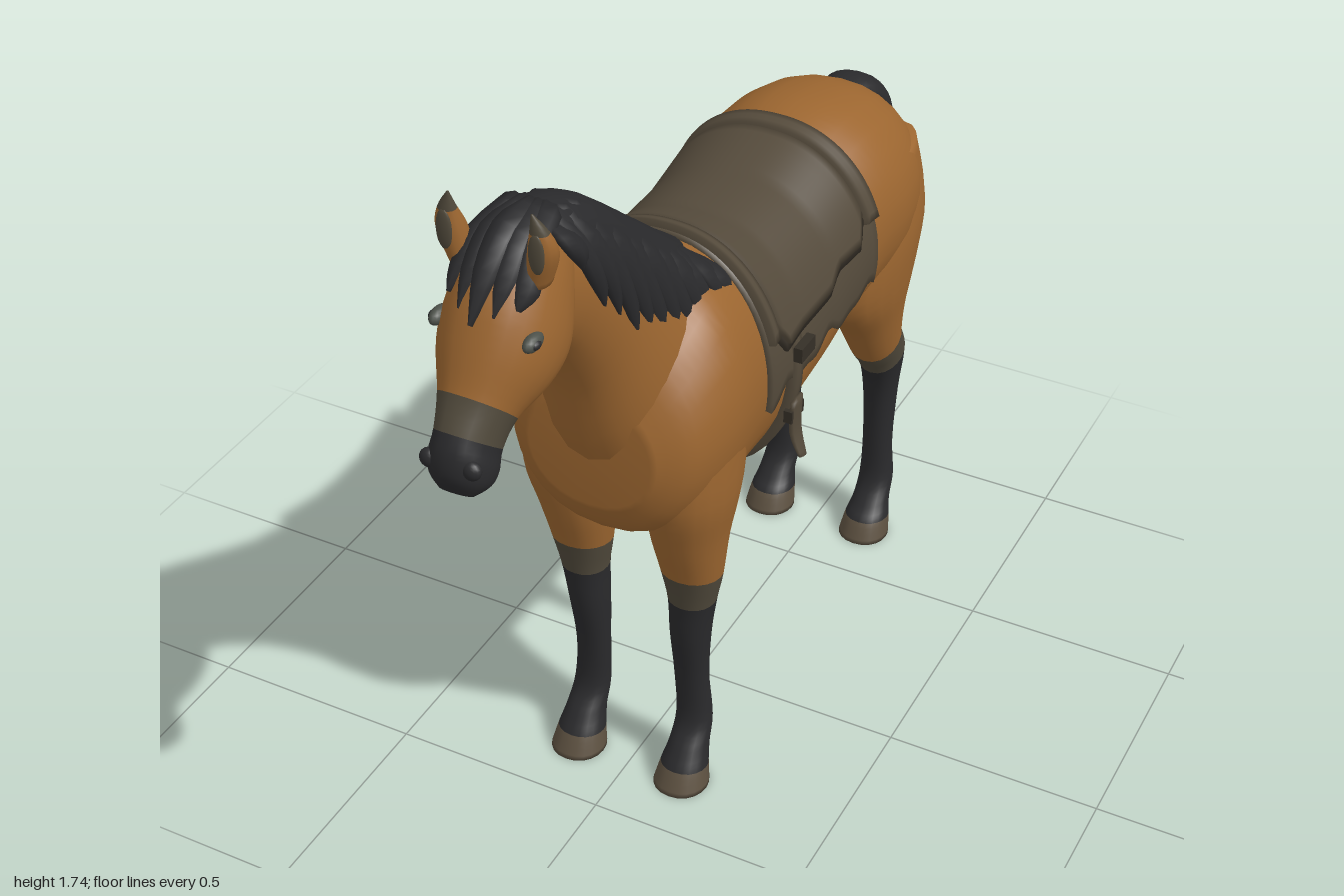
import * as THREE from 'three';

const mat = (name, color, side = THREE.FrontSide) => {
  const m = new THREE.MeshStandardMaterial({ color, side });
  m.name = name;
  return m;
};
const coat = mat('bay coat', 0x9c6630);
const black = mat('black hair', 0x2a2a2c);
const band = mat('grey brown fur', 0x50493b);
const hoof = mat('hoof', 0x5c5040);
const cloth = mat('saddle cloth', 0x544a3b, THREE.DoubleSide);
const trim = mat('dark leather', 0x352f27, THREE.DoubleSide);
const eyeGrey = mat('eye grey', 0x4c5049);

const catmull = (a, b, c, d, t) =>
  0.5 * (2 * b + (c - a) * t + (2 * a - 5 * b + 4 * c - d) * t * t + (3 * b - a - 3 * c + d) * t ** 3);

// Smooth closed skin through oval sections [z1, y1, z2, y2, halfWidth, x, material]:
// each section spans two opposite points in the side plane.
function loft(name, secs, mats, seg = 20, sub = 4) {
  const pos = [], idx = [], groups = [], n = secs.length, rows = (n - 1) * sub + 1;
  const S = (i, k) => secs[Math.min(n - 1, Math.max(0, i))][k] ?? 0;
  for (let r = 0; r < rows; r++) {
    const i = Math.min(n - 2, Math.floor(r / sub)), t = r / sub - i;
    const [z1, y1, z2, y2, w, x] = [0, 1, 2, 3, 4, 5].map(k => catmull(S(i - 1, k), S(i, k), S(i + 1, k), S(i + 2, k), t));
    for (let j = 0; j < seg; j++) {
      const a = j / seg * Math.PI * 2, c = Math.cos(a), s = Math.sin(a);
      pos.push(x + Math.max(w, 0.001) * Math.sign(s) * Math.abs(s) ** 0.9,
        (y1 + y2) / 2 + (y1 - y2) / 2 * c, (z1 + z2) / 2 + (z1 - z2) / 2 * c);
    }
  }
  for (const k of [0, n - 1]) pos.push(S(k, 5), (S(k, 1) + S(k, 3)) / 2, (S(k, 0) + S(k, 2)) / 2);
  for (let i = 0; i < n - 1; i++) {
    const start = idx.length;
    for (let r = i * sub; r < (i + 1) * sub; r++) for (let j = 0; j < seg; j++) {
      const a = r * seg + j, b = r * seg + (j + 1) % seg;
      idx.push(a, b, a + seg, b, b + seg, a + seg);
      if (r === 0) idx.push(rows * seg, b, a);
      if (r === rows - 2) idx.push(rows * seg + 1, a + seg, b + seg);
    }
    groups.push([start, idx.length - start, S(i, 6)]);
  }
  // turn the faces outward whatever way the sections run
  let vol = 0;
  const V = i => new THREE.Vector3().fromArray(pos, i * 3);
  for (let i = 0; i < idx.length; i += 3) vol += V(idx[i]).dot(V(idx[i + 1]).cross(V(idx[i + 2])));
  if (vol < 0) for (let i = 0; i < idx.length; i += 3) [idx[i], idx[i + 1]] = [idx[i + 1], idx[i]];
  const g = new THREE.BufferGeometry();
  g.setAttribute('position', new THREE.Float32BufferAttribute(pos, 3));
  g.setIndex(idx);
  if (Array.isArray(mats)) groups.forEach(q => g.addGroup(...q));
  g.computeVertexNormals();
  const m = new THREE.Mesh(g, mats);
  m.name = name;
  return m;
}

const BODY = [
  [-0.79, 1.10, -0.79, 0.98, 0.08], [-0.76, 1.21, -0.77, 0.88, 0.17], [-0.68, 1.265, -0.70, 0.80, 0.225],
  [-0.57, 1.295, -0.57, 0.78, 0.25], [-0.47, 1.305, -0.45, 0.78, 0.248], [-0.36, 1.29, -0.33, 0.75, 0.235],
  [-0.18, 1.255, -0.18, 0.71, 0.233], [0, 1.26, 0, 0.69, 0.233], [0.14, 1.305, 0.14, 0.69, 0.238],
  [0.26, 1.32, 0.28, 0.70, 0.25], [0.34, 1.28, 0.38, 0.72, 0.238], [0.42, 1.2, 0.45, 0.77, 0.205],
  [0.475, 1.1, 0.49, 0.85, 0.14]];

// Cloth wrapped over the barrel between z0 and z1, hanging to height low(t), with turned edges
function wrap(name, z0, z1, low, off, material, nz = 14) {
  const pos = [], idx = [], na = 40;
  for (let r = -1; r <= nz + 1; r++) {
    const t = Math.min(1, Math.max(0, r / nz)), z = z0 + (z1 - z0) * t;
    const i = Math.max(0, BODY.findIndex(s => s[0] > z) - 1), A = BODY[i], B = BODY[i + 1];
    const [, top, , bot, w] = A.map((v, k) => v + (B[k] - v) * (z - A[0]) / (B[0] - A[0]));
    const cy = (top + bot) / 2, h = (top - bot) / 2;
    const a0 = Math.asin(Math.max(-1, (low(t) - cy) / h));
    for (let j = -1; j <= na + 1; j++) {
      const a = a0 + (Math.PI - 2 * a0) * Math.min(1, Math.max(0, j / na));
      const o = r < 0 || r > nz || j < 0 || j > na ? 0 : off, c = Math.cos(a);
      pos.push((w + o) * Math.sign(c) * Math.abs(c) ** 0.9, cy + (h + o) * Math.sin(a), z);
    }
  }
  const W = na + 3;
  for (let r = 0; r < nz + 2; r++) for (let j = 0; j < W - 1; j++) {
    const a = r * W + j;
    idx.push(a, a + W, a + 1, a + 1, a + W, a + W + 1);
  }
  const g = new THREE.BufferGeometry();
  g.setAttribute('position', new THREE.Float32BufferAttribute(pos, 3));
  g.setIndex(idx);
  g.computeVertexNormals();
  const m = new THREE.Mesh(g, material);
  m.name = name;
  return m;
}

function solid(name, geo, material, p, s = [1, 1, 1]) {
  const m = new THREE.Mesh(geo, material);
  m.name = name;
  m.position.set(...p);
  m.scale.set(...s);
  return m;
}

export function createModel() {
  const horse = new THREE.Group();
  horse.name = 'horse';
  const add = (...m) => horse.add(...m);

  add(loft('body', BODY, coat, 28));
  add(loft('neck', [
    [0.08, 1.26, 0.42, 0.82, 0.19], [0.22, 1.34, 0.50, 1.00, 0.155], [0.38, 1.48, 0.55, 1.18, 0.118],
    [0.53, 1.59, 0.62, 1.31, 0.095], [0.68, 1.65, 0.68, 1.36, 0.08]], coat, 24));
  // head, with grey band and black muzzle
  add(loft('head', [
    [0.67, 1.66, 0.60, 1.50, 0.07], [0.78, 1.65, 0.63, 1.40, 0.10], [0.85, 1.58, 0.67, 1.345, 0.115],
    [0.895, 1.50, 0.74, 1.32, 0.108], [0.935, 1.41, 0.82, 1.295, 0.076, 0, 1], [0.975, 1.35, 0.855, 1.25, 0.062, 0, 2],
    [0.995, 1.31, 0.875, 1.215, 0.065, 0, 2], [1.0, 1.265, 0.90, 1.20, 0.058, 0, 2],
    [0.985, 1.225, 0.945, 1.20, 0.035, 0, 2]], [coat, band, black], 24));

  const ball = new THREE.SphereGeometry(1, 14, 10);
  for (const s of [1, -1]) {
    // legs: coat, grey band, black stocking, hoof
    const mats = [coat, band, black, hoof];
    add(loft('frontLeg', [
      [0.42, 1.00, 0.14, 1.00, 0.085, s * 0.155], [0.43, 0.84, 0.17, 0.82, 0.095, s * 0.145],
      [0.395, 0.71, 0.20, 0.69, 0.083, s * 0.135], [0.355, 0.59, 0.22, 0.57, 0.068, s * 0.134, 1],
      [0.335, 0.50, 0.228, 0.50, 0.054, s * 0.132, 2], [0.325, 0.40, 0.232, 0.40, 0.046, s * 0.126, 2],
      [0.305, 0.27, 0.237, 0.27, 0.040, s * 0.124, 2], [0.305, 0.15, 0.233, 0.15, 0.042, s * 0.13, 2],
      [0.345, 0.09, 0.25, 0.09, 0.045, s * 0.132, 2], [0.375, 0.05, 0.268, 0.04, 0.054, s * 0.132, 3],
      [0.402, 0, 0.275, 0, 0.063, s * 0.132, 3]], mats));
    add(loft('hindLeg', [
      [-0.45, 1.15, -0.76, 1.15, 0.07, s * 0.145], [-0.42, 0.95, -0.79, 1.0, 0.10, s * 0.145],
      [-0.425, 0.81, -0.765, 0.85, 0.092, s * 0.145], [-0.52, 0.69, -0.725, 0.74, 0.075, s * 0.143],
      [-0.60, 0.57, -0.735, 0.63, 0.06, s * 0.14, 1], [-0.655, 0.50, -0.79, 0.54, 0.052, s * 0.136, 2],
      [-0.692, 0.40, -0.787, 0.41, 0.042, s * 0.13, 2], [-0.705, 0.25, -0.777, 0.25, 0.037, s * 0.128, 2],
      [-0.70, 0.14, -0.78, 0.14, 0.042, s * 0.13, 2], [-0.66, 0.08, -0.755, 0.09, 0.045, s * 0.132, 2],
      [-0.63, 0.05, -0.745, 0.045, 0.054, s * 0.132, 3], [-0.605, 0, -0.73, 0, 0.062, s * 0.132, 3]], mats));
    // ears and eyes
    add(loft('ear', [
      [0.80, 1.58, 0.74, 1.58, 0.022, s * 0.078], [0.81, 1.65, 0.75, 1.65, 0.029, s * 0.094],
      [0.808, 1.70, 0.775, 1.70, 0.019, s * 0.095, 1], [0.802, 1.74, 0.798, 1.74, 0.002, s * 0.086, 1]],
      [coat, band], 12));
    add(solid('innerEar', ball, band, [s * 0.095, 1.662, 0.806], [0.017, 0.042, 0.007]));
    add(solid('eye', ball, eyeGrey, [s * 0.098, 1.495, 0.835], [0.015, 0.017, 0.03]));
    add(solid('pupil', ball, black, [s * 0.106, 1.495, 0.84], [0.01, 0.01, 0.014]));
    add(solid('nostril', ball, black, [s * 0.045, 1.285, 0.978], [0.02, 0.02, 0.016]));
    // strap fittings
    add(solid('buckle', new THREE.BoxGeometry(0.02, 0.035, 0.065), trim, [s * 0.262, 1.03, 0.02]));
    add(solid('lowerBuckle', new THREE.BoxGeometry(0.02, 0.03, 0.06), trim, [s * 0.243, 0.865, 0.025]));
    add(loft('strapEnd', [
      [0.05, 0.90, 0.0, 0.90, 0.008, s * 0.25], [0.052, 0.82, 0.005, 0.82, 0.009, s * 0.25],
      [0.05, 0.765, 0.015, 0.755, 0.006, s * 0.27]], cloth, 10));
  }

  // mane: a cap along the crest and hanging locks on both sides
  add(loft('maneCap', [
    [0.13, 1.30, 0.18, 1.20, 0.06], [0.24, 1.385, 0.33, 1.20, 0.115], [0.385, 1.505, 0.46, 1.34, 0.108],
    [0.53, 1.62, 0.575, 1.46, 0.092], [0.66, 1.668, 0.65, 1.52, 0.076], [0.74, 1.665, 0.71, 1.58, 0.045]], black));
  const crest = new THREE.CatmullRomCurve3([[0.68, 1.65], [0.58, 1.625], [0.45, 1.535], [0.3, 1.405], [0.18, 1.31]]
    .map(([z, y]) => new THREE.Vector3(0, y, z)));
  const LOCKS = 12;
  for (let i = 0; i < LOCKS; i++) for (const s of [1, -1]) {
    const t = i / (LOCKS - 1), { y, z } = crest.getPoint(t);
    const L = 0.1 + 0.22 * Math.sin(Math.PI * t ** 0.9) + 0.025 * (i % 2), w = 0.085 + 0.05 * t;
    const at = (f, half, thick, x) => [z - 0.3 * L * f + half, y - L * f + half * 0.5,
      z - 0.3 * L * f - half, y - L * f - half * 0.5, thick, s * x];
    add(loft('maneLock', [at(-0.05, 0.03, 0.025, 0.02), at(0.2, 0.042, 0.02, w * 0.78), at(0.5, 0.042, 0.018, w * 1.02),
      at(0.8, 0.026, 0.014, w * 1.1), at(1.1, 0.003, 0.003, w * 1.12)], black, 8, 3));
  }
  // forelock
  for (let k = -2; k <= 2; k++) {
    const u = Math.abs(k) * 0.012, x = k * 0.033;
    add(loft('forelock', [
      [0.66, 1.68, 0.66, 1.62, 0.03, x * 0.5], [0.76, 1.682 - u, 0.74, 1.62 - u, 0.032, x * 0.8],
      [0.842 - u, 1.625 - u, 0.80 - u, 1.57 - u, 0.026, x],
      [0.892 - u * 2, 1.535 + u, 0.88 - u * 2, 1.525 + u, 0.003, x * 1.1]], black, 8, 3));
  }

  // tail with loose ends
  add(loft('tail', [
    [-0.71, 1.235, -0.75, 1.17, 0.045], [-0.80, 1.225, -0.78, 1.13, 0.072], [-0.875, 1.165, -0.79, 1.05, 0.085],
    [-0.925, 1.02, -0.80, 0.92, 0.08], [-0.945, 0.85, -0.815, 0.80, 0.072], [-0.945, 0.68, -0.83, 0.67, 0.06],
    [-0.95, 0.53, -0.865, 0.52, 0.038], [-0.985, 0.365, -0.975, 0.36, 0.004]], black));
  for (const [x, tz, ty, top] of [[0, -0.998, 0.88, 1.14], [0.035, -0.992, 0.54, 0.95], [-0.035, -0.99, 0.58, 0.95],
    [0.03, -0.91, 0.42, 0.8], [-0.03, -0.90, 0.45, 0.8]]) {
    const mid = (top + ty) / 2;
    add(loft('tailLock', [
      [-0.90, top, -0.84, top - 0.02, 0.03, x], [-0.945, mid + 0.02, -0.86, mid, 0.03, x],
      [tz, ty, tz + 0.008, ty, 0.003, x * 0.7]], black, 8));
  }

  // saddle cloth, flap, rolled rims and girth
  const ragged = t => 0.955 + 0.012 * Math.sin(t * 17) + 0.008 * Math.sin(t * 31);
  const flap = t => 1.095 - 0.03 * Math.min(1, Math.max(0, (t - 0.3) * 8)) + 0.05 * Math.max(0, 1 - t * 12, t * 12 - 11);
  add(wrap('saddleCloth', -0.385, 0.148, ragged, 0.014, cloth, 28));
  add(wrap('flapEdge', -0.335, 0.118, t => flap(t) - 0.014, 0.022, trim, 24));
  add(wrap('saddleFlap', -0.328, 0.11, flap, 0.03, cloth, 24));
  add(wrap('frontRim', 0.112, 0.146, () => 1.10, 0.03, cloth, 3));
  add(wrap('backRim', -0.382, -0.338, () => 1.12, 0.03, cloth, 3));
  add(wrap('girth', 0.002, 0.044, () => 0, 0.02, cloth, 3));
  return horse;
}
